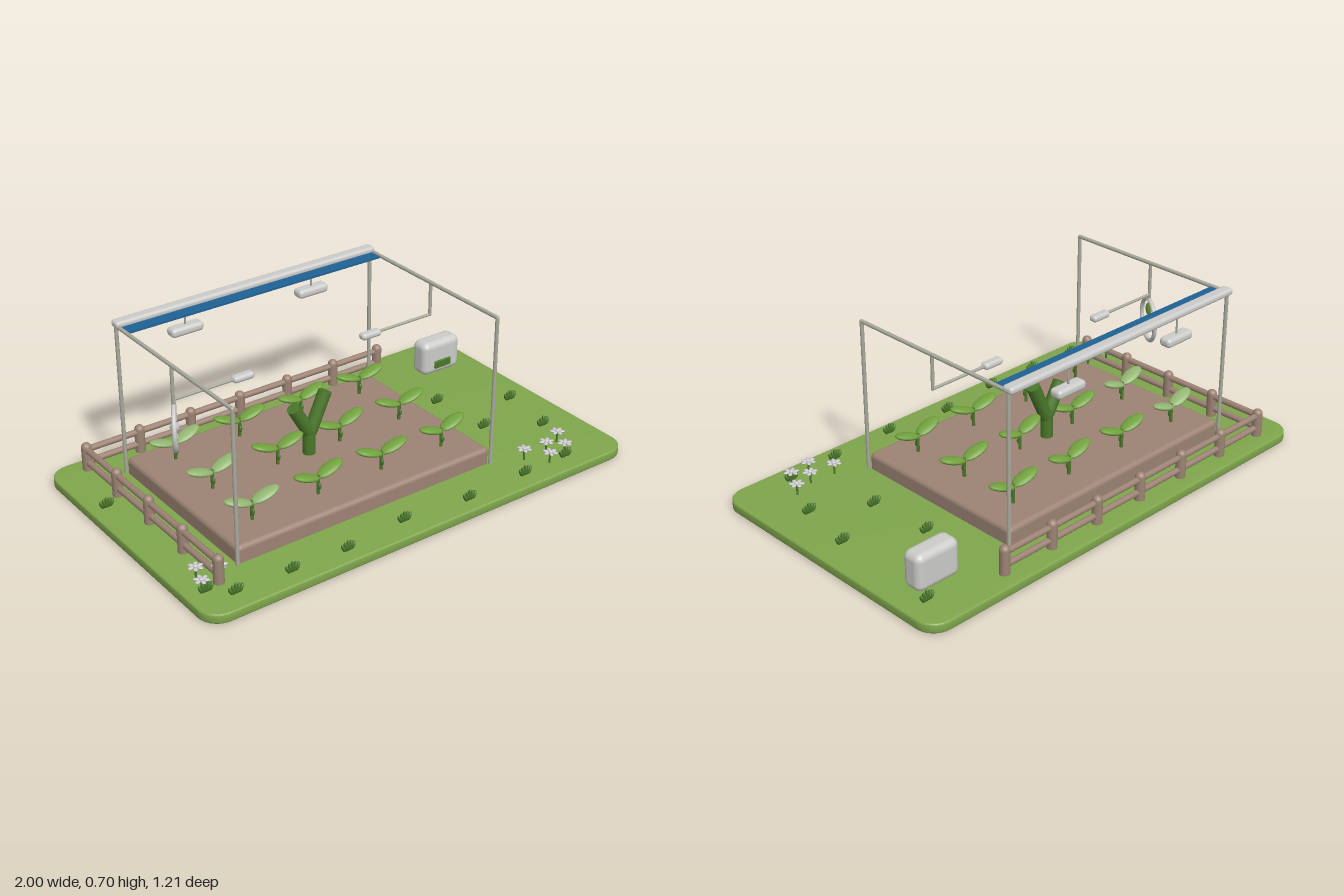
import * as THREE from 'three';
import { toCreasedNormals } from 'three/addons/utils/BufferGeometryUtils.js';
import { RoundedBoxGeometry } from 'three/addons/geometries/RoundedBoxGeometry.js';

const mat = (name, color) => {
  const m = new THREE.MeshStandardMaterial({ color });
  m.name = name;
  return m;
};
const M = {
  lawn: mat('lawn green', 0x7fa64c),
  wood: mat('earth brown', 0x9c8374),
  pole: mat('pole grey', 0xa9ab9c),
  white: mat('off white', 0xcbccc9),
  blue: mat('panel blue', 0x1f6294),
  leaf: mat('leaf green', 0x73a33f),
  pale: mat('pale leaf green', 0x95b873),
  dark: mat('dark green', 0x4a7829),
  petal: mat('petal lilac', 0xcdc8d4),
};

function add(parent, name, geo, material, x = 0, y = 0, z = 0) {
  const m = new THREE.Mesh(geo, material);
  m.name = name;
  m.position.set(x, y, z);
  parent.add(m);
  return m;
}

function group(parent, name, x = 0, y = 0, z = 0) {
  const g = new THREE.Group();
  g.name = name;
  g.position.set(x, y, z);
  parent.add(g);
  return g;
}

const rbox = (w, h, d, r) => new RoundedBoxGeometry(w, h, d, 4, r);
const ball = new THREE.SphereGeometry(1, 16, 10);

function blob(parent, name, material, x, y, z, sx, sy, sz) {
  const m = add(parent, name, ball, material, x, y, z);
  m.scale.set(sx, sy, sz);
  return m;
}

// Round bar between two points, optionally with domed ends
function bar(parent, name, a, b, r, material, domed = false) {
  const A = new THREE.Vector3(...a), B = new THREE.Vector3(...b);
  const dir = B.clone().sub(A), len = dir.length();
  const geo = domed ? new THREE.CapsuleGeometry(r, len - 2 * r, 5, 14)
    : new THREE.CylinderGeometry(r, r, len, 12);
  const m = add(parent, name, geo, material);
  m.position.copy(A).add(B).multiplyScalar(0.5);
  m.quaternion.setFromUnitVectors(new THREE.Vector3(0, 1, 0), dir.normalize());
  return m;
}

const X0 = -0.742, X1 = 0.457, ZF = 0.382, ZB = -0.418, ZM = -0.018;
const GROUND = 0.04, SOIL = 0.11, TOP = 0.683;

function addLawn(root) {
  const w = 0.994, d = 0.599, r = 0.08;
  const s = new THREE.Shape();
  s.absarc(w - r, d - r, r, 0, Math.PI / 2);
  s.absarc(-w + r, d - r, r, Math.PI / 2, Math.PI);
  s.absarc(-w + r, -d + r, r, Math.PI, Math.PI * 1.5);
  s.absarc(w - r, -d + r, r, Math.PI * 1.5, Math.PI * 2);
  const geo = new THREE.ExtrudeGeometry(s, {
    depth: 0.028, bevelSize: 0.006, bevelThickness: 0.006, bevelSegments: 3, curveSegments: 10,
  });
  geo.rotateX(-Math.PI / 2).translate(0, 0.006, 0);
  add(root, 'lawn', toCreasedNormals(geo, 0.6), M.lawn);
}

function addFence(root) {
  const f = group(root, 'fence');
  const cx = -0.853, cz = -0.53;
  const post = (x, z) => bar(f, 'fencePost', [x, GROUND - 0.02, z], [x, 0.16, z], 0.021, M.wood, true);
  for (let i = 0; i < 7; i++) post(cx + i * 0.24, cz);
  for (let i = 1; i < 5; i++) post(cx, cz + i * 0.24);
  for (const y of [0.075, 0.13]) {
    bar(f, 'backRail', [cx, y, cz], [0.587, y, cz], 0.013, M.wood);
    bar(f, 'sideRail', [cx, y, cz], [cx, y, 0.43], 0.013, M.wood);
  }
}

function addFrame(root) {
  const f = group(root, 'frame');
  const r = 0.008;
  for (const x of [X0, X1]) {
    const s = x < 0 ? 1 : -1;
    for (const z of [ZF, ZB]) bar(f, 'framePost', [x, GROUND, z], [x, TOP, z], r, M.pole);
    bar(f, 'sideBeam', [x, TOP, ZF], [x, TOP, ZB], r, M.pole);
    blob(f, 'frameCorner', M.pole, x, TOP, ZF, r, r, r);
    // Hanger, inward arm and sprayer head
    bar(f, 'hanger', [x, TOP, ZM], [x, 0.543, ZM], 0.007, M.pole);
    blob(f, 'armElbow', M.pole, x, 0.543, ZM, 0.007, 0.007, 0.007);
    bar(f, 'sprayerArm', [x, 0.543, ZM], [x + s * 0.27, 0.543, ZM], 0.006, M.pole);
    add(f, 'sprayerHead', rbox(0.092, 0.028, 0.038, 0.013), M.white, x + s * 0.301, 0.543, ZM);
    // Lamp under the back beam
    const lx = x + s * 0.3;
    bar(f, 'lampRod', [lx, 0.69, ZB], [lx, 0.6, ZB], 0.004, M.pole);
    add(f, 'lamp', rbox(0.145, 0.038, 0.055, 0.016), M.white, lx, 0.585, ZB);
  }
  add(f, 'backBeam', rbox(1.22, 0.03, 0.05, 0.013), M.white, -0.142, 0.69, ZB);
  add(f, 'solarPanel', new THREE.BoxGeometry(1.19, 0.008, 0.08), M.blue, -0.142, 0.68, -0.38);
}

// Ring fan hanging from the left side beam
function addFan(root) {
  const fan = group(root, 'fan', X0, 0.43, ZM);
  fan.rotation.y = 1.03;
  add(fan, 'fanRing', new THREE.TorusGeometry(0.089, 0.009, 10, 40), M.white);
  blob(fan, 'fanHub', M.white, 0, 0, 0, 0.02, 0.02, 0.018);
  bar(fan, 'fanHanger', [0, 0.09, 0], [0, 0.12, 0], 0.007, M.pole);
  for (let i = 0; i < 3; i++) {
    const arm = group(fan, 'fanBladeArm');
    arm.rotation.z = 0.1 + i * Math.PI * 2 / 3;
    const b = blob(arm, 'fanBlade', M.leaf, 0, 0.045, 0, 0.019, 0.028, 0.005);
    b.rotation.y = 0.35;
  }
}

function addPlants(root) {
  const plants = group(root, 'seedlings');
  [-0.29, -0.02, 0.25].forEach((z, row) => {
    for (let col = 0; col < 4; col++) {
      const p = group(plants, 'seedling', -0.59 + col * 0.3, 0, z);
      const up = (col % 2 === 0) === (row < 2);
      p.rotation.y = up ? 0.07 : -0.07;
      bar(p, 'stem', [0, SOIL - 0.01, 0], [0, 0.19, 0], 0.007, M.dark);
      blob(p, 'bud', M.dark, 0, 0.145, 0.008, 0.007, 0.014, 0.007);
      for (const s of [-1, 1]) {
        const l = blob(p, 'leaf', col === 0 ? M.pale : M.leaf, s * 0.056, 0.2, 0, 0.062, 0.014, 0.033);
        l.rotation.z = s * 0.32;
      }
    }
  });
  // Forked stalk in the middle of the bed
  const c = group(root, 'forkedStalk', -0.142, 0, ZM);
  bar(c, 'trunk', [0, SOIL - 0.01, 0], [0, 0.235, 0], 0.026, M.dark);
  bar(c, 'leftFork', [0.004, 0.2, 0], [0.079, 0.362, 0], 0.028, M.dark);
  bar(c, 'rightFork', [-0.004, 0.21, 0], [-0.073, 0.332, 0], 0.028, M.dark);
  blob(c, 'forkJoint', M.dark, 0, 0.215, 0, 0.03, 0.03, 0.028);
}

function addTuft(parent, x, z) {
  const t = group(parent, 'grassTuft', x, GROUND, z);
  for (let i = -2; i <= 2; i++) {
    const h = 0.024 - Math.abs(i) * 0.003;
    const b = blob(t, 'grassBlade', M.dark, i * 0.011, h * 0.85, 0, 0.007, h, 0.009);
    b.rotation.z = -i * 0.2;
  }
}

function addFlower(parent, x, z, turn) {
  const f = group(parent, 'flower', x, GROUND, z);
  f.rotation.y = turn;
  bar(f, 'flowerStem', [0, 0, 0], [0, 0.048, 0], 0.004, M.dark);
  blob(f, 'flowerCentre', M.white, 0, 0.052, 0, 0.009, 0.006, 0.009);
  for (let i = 0; i < 6; i++) {
    const a = i * Math.PI / 3;
    const p = blob(f, 'petal', M.petal, Math.cos(a) * 0.019, 0.05, Math.sin(a) * 0.019, 0.012, 0.004, 0.008);
    p.rotation.y = -a;
  }
}

export function createModel() {
  const root = new THREE.Group();
  root.name = 'garden';
  addLawn(root);
  add(root, 'soilBed', rbox(1.195, 0.09, 0.795, 0.02), M.wood, -0.142, SOIL - 0.045, -0.02);
  addFence(root);
  addFrame(root);
  addFan(root);
  addPlants(root);

  // Storage box with a small green front panel
  add(root, 'storageBox', rbox(0.2, 0.155, 0.092, 0.03), M.white, 0.8, 0.118, -0.379);
  add(root, 'boxPanel', rbox(0.09, 0.036, 0.012, 0.005), M.dark, 0.8, 0.088, -0.333);

  // Loose planting around the bed
  const tufts = [[-0.93, -0.24], [-0.92, 0.45], [-0.84, 0.52], [-0.605, 0.53], [-0.365, 0.54],
    [-0.08, 0.51], [0.215, 0.54], [0.51, 0.53], [0.735, 0.52], [0.835, 0.28],
    [0.625, 0.15], [0.875, 0.03], [0.605, -0.13], [0.895, -0.46]];
  tufts.forEach(([x, z]) => addTuft(root, x, z));
  const flowers = [[-0.905, 0.36], [-0.83, 0.4], [-0.93, 0.44], [0.585, 0.44],
    [0.695, 0.45], [0.787, 0.415], [0.65, 0.52], [0.748, 0.5]];
  flowers.forEach(([x, z], i) => addFlower(root, x, z, i * 0.7));
  return root;
}
